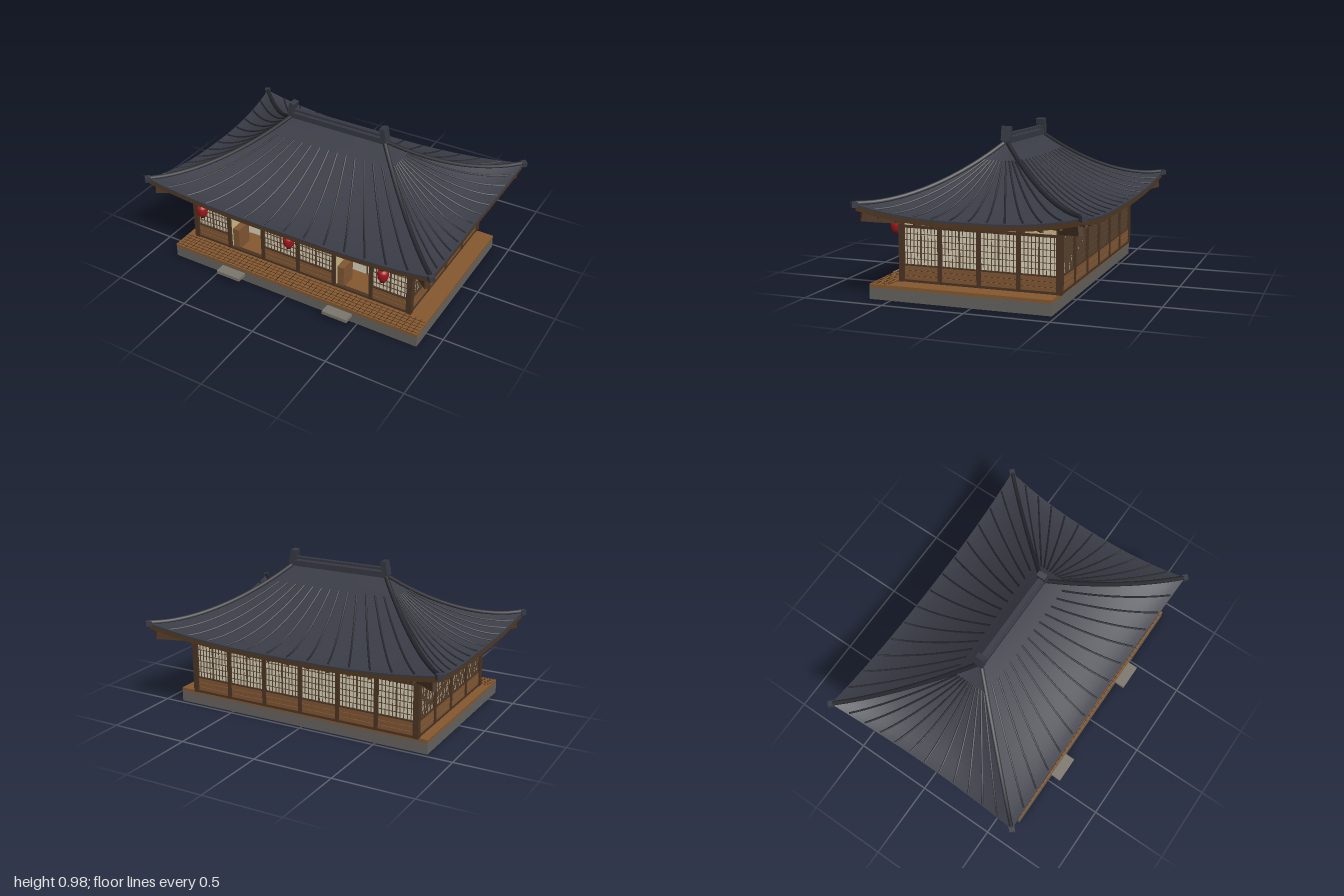
import * as THREE from 'three';

const mat = (color, side = THREE.FrontSide) => new THREE.MeshStandardMaterial({ color, side });
const M = {
  tile: mat(0x3a3c46, THREE.DoubleSide), rib: mat(0x25262c), ridge: mat(0x363842),
  post: mat(0x4a3423), board: mat(0x7f5633), deck: mat(0x85582f), seam: mat(0x3a2717),
  paper: mat(0xd8d2ba), plaster: mat(0xcbb98c), lattice: mat(0x5a4330),
  fascia: mat(0x52381f, THREE.DoubleSide), soffit: mat(0x35251a, THREE.DoubleSide),
  stone: mat(0x65625d), step: mat(0x7a756c), red: mat(0xa0161a), black: mat(0x1b1a1a),
};

function add(parent, name, geo, material, x = 0, y = 0, z = 0) {
  const m = new THREE.Mesh(geo, material);
  m.name = name;
  m.position.set(x, y, z);
  parent.add(m);
  return m;
}
const box = (p, name, material, w, h, d, x, y, z) =>
  add(p, name, new THREE.BoxGeometry(w, h, d), material, x, y, z);

// Square beam between two points
function beam(p, name, material, a, b, w, h) {
  const mid = a.clone().add(b).multiplyScalar(0.5);
  const m = box(p, name, material, w, h, a.distanceTo(b), mid.x, mid.y, mid.z);
  m.lookAt(b);
  return m;
}

// Surface swept over s in -1..1 and t in 0..1
function sheet(fn, nu, nv) {
  const pos = [], idx = [];
  for (let j = 0; j <= nv; j++)
    for (let i = 0; i <= nu; i++) pos.push(...fn(-1 + (2 * i) / nu, j / nv).toArray());
  for (let j = 0; j < nv; j++)
    for (let i = 0; i < nu; i++) {
      const a = j * (nu + 1) + i, b = a + nu + 1;
      idx.push(a, b, a + 1, b, b + 1, a + 1);
    }
  const g = new THREE.BufferGeometry();
  g.setAttribute('position', new THREE.Float32BufferAttribute(pos, 3));
  g.setIndex(idx);
  g.computeVertexNormals();
  return g;
}

// Roof slope: side 0 front, 1 right, 2 back, 3 left; s runs along the eave, t down the slope
function roofPoint(side, s, t) {
  const w = 0.32 + 0.655 * t, d = 0.672 * t, dip = t * t * (1 - s * s);
  const y = 0.495 + 0.385 * Math.pow(1 - t, 1.7)
    + 0.073 * Math.pow(Math.abs(s), 2.6) * Math.pow(t, 1.5);
  const k = side < 2 ? 1 : -1;
  return side % 2 === 0
    ? new THREE.Vector3(k * s * w, y, k * (d - 0.022 * dip))
    : new THREE.Vector3(k * (w - 0.035 * dip), y, -k * s * d);
}
function wallPoint(side, s, y) {
  const k = side < 2 ? 1 : -1;
  return side % 2 === 0 ? new THREE.Vector3(k * s * 0.765, y, k * 0.48)
    : new THREE.Vector3(k * 0.765, y, -k * s * 0.48);
}

function rib(p, name, side, s, t0, t1, r, lift) {
  const pts = [];
  for (let i = 0; i <= 10; i++) {
    const v = roofPoint(side, s, t0 + ((t1 - t0) * i) / 10);
    v.y += lift;
    pts.push(v);
  }
  add(p, name, new THREE.TubeGeometry(new THREE.CatmullRomCurve3(pts), 20, r, 6), M.rib);
}

function buildRoof() {
  const roof = new THREE.Group();
  roof.name = 'roof';
  const drop = (v, h) => { v.y -= h; return v; };
  for (let side = 0; side < 4; side++) {
    add(roof, 'roofSlope', sheet((s, t) => roofPoint(side, s, t), 32, 20), M.tile);
    add(roof, 'eaveTileEdge', sheet((s, t) => drop(roofPoint(side, s, 1), t * 0.012), 32, 1), M.tile);
    add(roof, 'eaveFascia', sheet((s, t) => drop(roofPoint(side, s, 0.993), 0.01 + t * 0.028), 32, 1), M.fascia);
    add(roof, 'soffit', sheet((s, t) =>
      wallPoint(side, s, 0.485).lerp(drop(roofPoint(side, s, 0.993), 0.03), t), 32, 4), M.soffit);
    const n = side % 2 ? 6 : 7;
    for (let i = 1 - n; i < n; i++) {
      rib(roof, 'tileRib', side, i / n, 0.17, 0.985, 0.006, 0.001);
      beam(roof, 'rafter', M.post, wallPoint(side, i / n, 0.465),
        drop(roofPoint(side, i / n, 0.965), 0.044), 0.018, 0.02);
    }
    // Hip ridge with its corner cap and the rafter below it
    rib(roof, 'hipRidge', side, 1, 0.02, 0.99, 0.014, 0.004);
    const c = roofPoint(side, 1, 1);
    const cap = box(roof, 'cornerCap', M.ridge, 0.035, 0.032, 0.035, c.x, c.y - 0.004, c.z);
    cap.rotation.y = Math.PI / 4;
    beam(roof, 'hipRafter', M.post, wallPoint(side, 1, 0.455),
      new THREE.Vector3(c.x * 0.965, 0.49, c.z * 0.965), 0.028, 0.05);
  }
  // Ridge, rail and end finials
  box(roof, 'ridgeBeam', M.ridge, 0.66, 0.035, 0.045, 0, 0.887, 0);
  box(roof, 'ridgeRail', M.ridge, 0.62, 0.014, 0.03, 0, 0.922, 0);
  for (const k of [-1, 1]) {
    const f = box(roof, 'ridgeFinial', M.ridge, 0.035, 0.09, 0.057, k * 0.322, 0.928, 0);
    f.rotation.z = k * 0.18;
  }
  return roof;
}

// Paper screen bay centred on x = 0, facing +z
function screenBay(w) {
  const g = new THREE.Group();
  g.name = 'screenBay';
  box(g, 'paperScreen', M.paper, w, 0.22, 0.008, 0, 0.3, -0.004);
  box(g, 'panelBacking', M.seam, w, 0.1, 0.012, 0, 0.14, -0.004);
  for (let i = 0; i < 3; i++)
    box(g, 'lowerBoard', M.board, w, 0.028, 0.014, 0, 0.112 + i * 0.031, 0.001);
  box(g, 'screenSill', M.post, w, 0.008, 0.02, 0, 0.191, 0);
  for (let i = 1; i < 10; i++)
    box(g, 'latticeUpright', M.lattice, i === 5 ? 0.009 : 0.003, 0.22, 0.008, -w / 2 + (w * i) / 10, 0.3, 0.002);
  for (let i = 1; i < 6; i++)
    box(g, 'latticeBar', M.lattice, w, 0.003, 0.007, 0, 0.19 + i * 0.037, 0.002);
  return g;
}

// Open doorway with inner sliding doors and a low cabinet
function doorBay(w) {
  const g = new THREE.Group();
  g.name = 'doorBay';
  box(g, 'innerWall', M.plaster, w, 0.37, 0.01, 0, 0.275, -0.2);
  for (const k of [-1, 1]) {
    box(g, 'slidingDoor', M.paper, w / 2 - 0.004, 0.265, 0.01, k * w / 4, 0.228, -0.19);
    for (const y of [0.19, 0.28])
      box(g, 'doorBar', M.lattice, w / 2, 0.003, 0.004, k * w / 4, y, -0.184);
    box(g, 'doorwaySide', M.plaster, 0.006, 0.37, 0.2, k * (w / 2 - 0.003), 0.275, -0.1);
  }
  box(g, 'doorStile', M.lattice, 0.008, 0.265, 0.014, 0, 0.228, -0.188);
  box(g, 'cabinet', M.board, 0.045, 0.145, 0.11, -w / 2 + 0.03, 0.163, -0.06);
  return g;
}

function buildWalls() {
  const walls = new THREE.Group();
  walls.name = 'walls';
  for (let side = 0; side < 4; side++) {
    const long = side % 2 === 0, n = long ? 6 : 4, half = long ? 0.765 : 0.48;
    const wall = new THREE.Group();
    wall.name = ['frontWall', 'leftWall', 'backWall', 'rightWall'][side];
    wall.rotation.y = (side * Math.PI) / 2;
    const z = long ? 0.48 : 0.765, step = (2 * half) / n;
    for (let i = 0; i <= n; i++) {
      const size = i === 0 || i === n ? 0.034 : 0.026;
      if (i < n || !long) // long walls share one corner post with the next wall
        box(wall, 'post', M.post, size, 0.385, size, -half + i * step, 0.2825, z);
    }
    for (let i = 0; i < n; i++) {
      const door = side === 0 && (i === 1 || i === 4);
      const bay = door ? doorBay(step - 0.02) : screenBay(step - 0.02);
      bay.position.set(-half + (i + 0.5) * step, 0, z);
      wall.add(bay);
    }
    box(wall, 'transom', M.plaster, 2 * half, 0.035, 0.008, 0, 0.44, z);
    box(wall, 'headBeam', M.post, 2 * half, 0.016, 0.022, 0, 0.418, z);
    box(wall, 'topBeam', M.post, 2 * half, 0.024, 0.03, 0, 0.468, z);
    box(wall, 'groundSill', M.post, 2 * half, 0.014, 0.024, 0, 0.097, z);
    walls.add(wall);
  }
  box(walls, 'ceiling', M.soffit, 1.5, 0.01, 0.93, 0, 0.475, 0);
  return walls;
}

function buildBase() {
  const base = new THREE.Group();
  base.name = 'base';
  const cx = 0.029, cz = 0.079, w = 1.726, d = 1.108;
  box(base, 'stoneFoundation', M.stone, w, 0.07, d, cx, 0.035, cz);
  box(base, 'deck', M.deck, w, 0.02, d, cx, 0.08, cz);
  // Seams of the veranda planks
  for (let i = 0; i < 5; i++)
    box(base, 'plankSeam', M.seam, w - 0.01, 0.001, 0.003, cx, 0.0903, 0.515 + i * 0.026);
  for (let i = 1; i < 48; i++)
    box(base, 'plankJoint', M.seam, 0.003, 0.001, 0.13, cx - w / 2 + (w * i) / 48, 0.0901, 0.565);
  for (const x of [-0.385, 0.38])
    box(base, 'stepStone', M.step, 0.168, 0.022, 0.12, x, 0.051, 0.64);
  return base;
}

function buildLantern(x) {
  const g = new THREE.Group();
  g.name = 'lantern';
  const profile = [[0.016, -0.04], [0.026, -0.028], [0.032, -0.008], [0.034, 0.012], [0.031, 0.028], [0.019, 0.04]]
    .map(([r, y]) => new THREE.Vector2(r, y));
  add(g, 'lanternBody', new THREE.LatheGeometry(new THREE.SplineCurve(profile).getPoints(14), 20), M.red);
  add(g, 'lanternCap', new THREE.CylinderGeometry(0.018, 0.018, 0.01, 16), M.black, 0, 0.042, 0);
  add(g, 'lanternFoot', new THREE.CylinderGeometry(0.016, 0.016, 0.008, 16), M.black, 0, -0.042, 0);
  add(g, 'lanternCord', new THREE.CylinderGeometry(0.002, 0.002, 0.06, 6), M.black, 0, 0.07, 0);
  g.position.set(x, 0.39, 0.583);
  return g;
}

export function createModel() {
  const model = new THREE.Group();
  model.name = 'pavilion';
  model.add(buildBase(), buildWalls(), buildRoof());
  for (const x of [-0.637, 0, 0.637]) model.add(buildLantern(x));
  return model;
}
